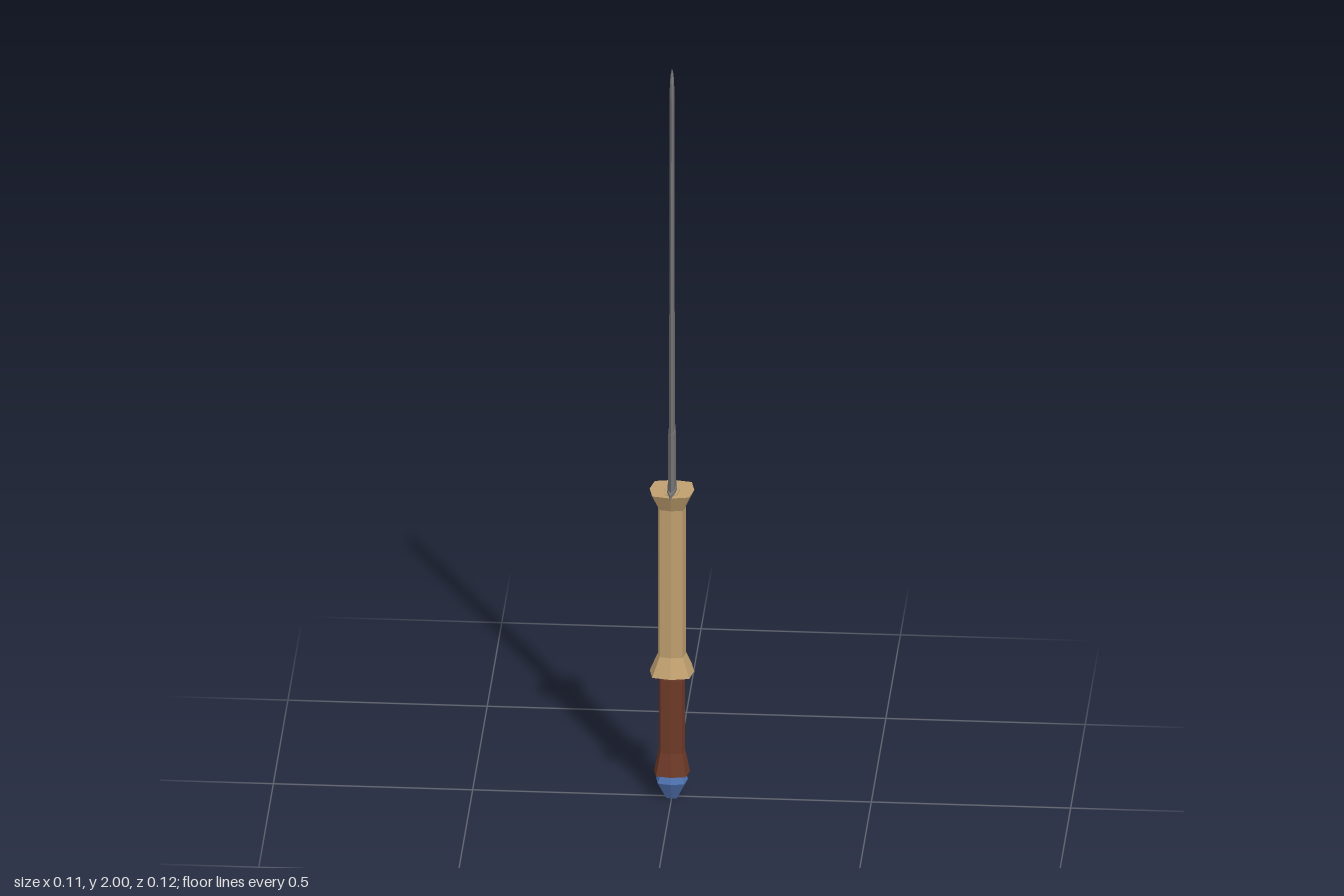
import * as THREE from 'three';

const material = (color) => new THREE.MeshStandardMaterial({ color, flatShading: true });

// Cross-sections as unit outlines [x, z], turning from +z toward +x
const octagon = [[0, 1], [0.83, 0.83], [1, 0], [0.83, -0.83], [0, -1], [-0.83, -0.83], [-1, 0], [-0.83, 0.83]];
const bladeOutline = [[0, 1], [0.75, 0.72], [1, 0.3], [1, -0.3], [0.75, -0.72], [0, -1], [-0.75, -0.72], [-1, -0.3], [-1, 0.3], [-0.75, 0.72]];
const collarOutline = [[0.35, 1], [0.75, 0.9], [1, 0], [0.75, -0.9], [0.35, -1], [-0.35, -1], [-0.75, -0.9], [-1, 0], [-0.75, 0.9], [-0.35, 1]];
const diamond = [[0, 1], [0.85, 0.4], [1, 0], [0.85, -0.4], [0, -1], [-0.85, -0.4], [-1, 0], [-0.85, 0.4]];

// Skin an outline through rings of [y, half width x, half depth z], capped at both ends
function loft(name, outline, rings, color) {
  const n = outline.length;
  const positions = [];
  const index = [];
  for (const [y, rx, rz] of rings) {
    for (const [x, z] of outline) positions.push(x * rx, y, z * rz);
  }
  for (let r = 0; r < rings.length - 1; r++) {
    for (let i = 0; i < n; i++) {
      const a = r * n + i;
      const b = r * n + (i + 1) % n;
      index.push(a, b, b + n, a, b + n, a + n);
    }
  }
  const top = (rings.length - 1) * n;
  for (let i = 1; i < n - 1; i++) {
    index.push(0, i + 1, i);
    index.push(top, top + i, top + i + 1);
  }
  const geometry = new THREE.BufferGeometry();
  geometry.setAttribute('position', new THREE.Float32BufferAttribute(positions, 3));
  geometry.setIndex(index);
  const flat = geometry.toNonIndexed();
  flat.computeVertexNormals();
  const mesh = new THREE.Mesh(flat, material(color));
  mesh.name = name;
  return mesh;
}

export function createModel() {
  const group = new THREE.Group();
  group.name = 'sword';

  // Faceted gem closing the bottom of the grip
  group.add(loft('pommelGem', octagon, [
    [0, 0.016, 0.016], [0.012, 0.022, 0.022], [0.048, 0.04, 0.04], [0.075, 0.03, 0.03],
  ], 0x4f72b0));

  // Dark lower grip with a flared foot
  group.add(loft('lowerGrip', octagon, [
    [0.07, 0.045, 0.045], [0.13, 0.033, 0.033], [0.33, 0.033, 0.033], [0.35, 0.029, 0.029],
  ], 0x6e3a28));

  // Pale upper grip, flared at both ends
  group.add(loft('upperGrip', octagon, [
    [0.345, 0.056, 0.056], [0.395, 0.035, 0.035], [0.8, 0.035, 0.035], [0.845, 0.056, 0.056],
  ], 0xbf9f6f));

  // Low collar and pointed guard plate at the blade root
  group.add(loft('collar', collarOutline, [[0.842, 0.02, 0.04], [0.847, 0.02, 0.04]], 0xbf9f6f));
  group.add(loft('guard', diamond, [[0.843, 0.013, 0.061], [0.854, 0.013, 0.061]], 0x777777));

  // Tapering blade, thicker near the root
  group.add(loft('blade', bladeOutline, [
    [0.845, 0.0095, 0.042], [1.01, 0.0085, 0.039], [1.012, 0.0065, 0.039],
    [1.5, 0.006, 0.03], [1.93, 0.0055, 0.023], [1.97, 0.005, 0.018],
    [1.99, 0.003, 0.01], [2, 0.001, 0.004],
  ], 0x777777));

  return group;
}
